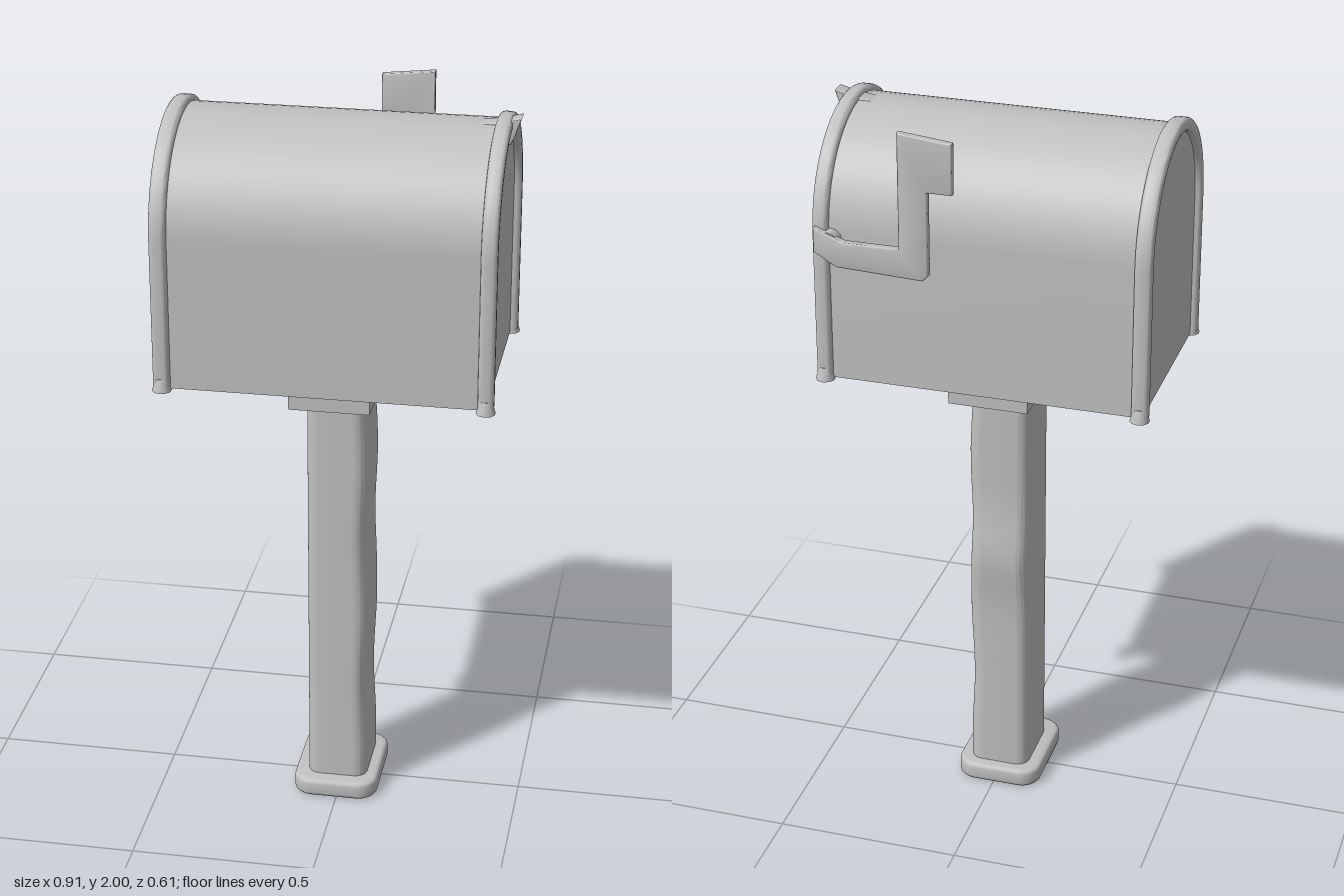
import * as THREE from 'three';
import { toCreasedNormals } from 'three/addons/utils/BufferGeometryUtils.js';

const grey = new THREE.MeshStandardMaterial({ color: 0xc0c0c0 });
grey.name = 'weathered grey';

const FLOOR = 1.29, SPRING = 1.695;

// Outline of the box: straight walls under a round arch
function archShape(r) {
  const s = new THREE.Shape();
  s.moveTo(-r, FLOOR);
  s.lineTo(r, FLOOR);
  s.lineTo(r, SPRING);
  s.absarc(0, SPRING, r, 0, Math.PI, false);
  s.lineTo(-r, FLOOR);
  return s;
}

// Inverted U band that caps each end of the box
function rimShape(outer, inner) {
  const s = new THREE.Shape();
  s.moveTo(inner, FLOOR);
  s.lineTo(outer, FLOOR);
  s.lineTo(outer, SPRING);
  s.absarc(0, SPRING, outer, 0, Math.PI, false);
  s.lineTo(-outer, FLOOR);
  s.lineTo(-inner, FLOOR);
  s.lineTo(-inner, SPRING);
  s.absarc(0, SPRING, inner, Math.PI, 0, true);
  s.lineTo(inner, FLOOR);
  return s;
}

function polygon(points) {
  return new THREE.Shape(points.map(([x, y]) => new THREE.Vector2(x, y)));
}

// Rounded rectangle between two corners
function roundedRect(x0, y0, x1, y1, r) {
  const s = new THREE.Shape();
  s.absarc(x1 - r, y1 - r, r, 0, Math.PI / 2, false);
  s.absarc(x0 + r, y1 - r, r, Math.PI / 2, Math.PI, false);
  s.absarc(x0 + r, y0 + r, r, Math.PI, Math.PI * 1.5, false);
  s.absarc(x1 - r, y0 + r, r, Math.PI * 1.5, Math.PI * 2, false);
  return s;
}

function extrude(shape, depth, bevel = 0, steps = 1) {
  return new THREE.ExtrudeGeometry(shape, {
    depth: depth - 2 * bevel, steps, curveSegments: 16,
    bevelEnabled: bevel > 0, bevelThickness: bevel, bevelSize: bevel,
    bevelOffset: -bevel, bevelSegments: 3,
  }).translate(0, 0, bevel);
}

// Extrusions running along x from x0, or up from y0
const alongX = (geo, x0) => geo.rotateY(Math.PI / 2).translate(x0, 0, 0);
const upward = (geo, y0) => geo.rotateX(-Math.PI / 2).translate(0, y0, 0);

export function createModel() {
  const model = new THREE.Group();
  model.name = 'mailbox';

  function add(name, geo) {
    const mesh = new THREE.Mesh(toCreasedNormals(geo, 0.7), grey);
    mesh.name = name;
    model.add(mesh);
    return mesh;
  }

  // Box, closed at both ends
  add('boxBody', alongX(extrude(archShape(0.272), 0.85), -0.438));

  // End rims with small flared feet
  for (const [name, x0, width] of [['backRim', -0.455, 0.045], ['doorRim', 0.39, 0.042]]) {
    add(name, alongX(extrude(rimShape(0.288, 0.252), width, 0.012), x0));
    for (const side of [-1, 1]) {
      const foot = new THREE.CylinderGeometry(0.016, 0.026, 0.035, 10);
      add(name + 'Foot', foot.translate(x0 + width / 2, 1.302, side * 0.275));
    }
  }

  // Door latch: a tapering strap on the roof ending in a hooked tab
  const latch = polygon([[0.3, 1.96], [0.4, 1.972], [0.455, 1.985], [0.438, 1.935],
    [0.428, 1.915], [0.41, 1.915], [0.41, 1.95], [0.3, 1.95]]);
  add('doorLatch', extrude(latch, 0.05, 0.004).translate(0, 0, -0.028));

  // Signal flag: bent arm with a plate at the top
  const arm = polygon([[0.42, 1.72], [0.42, 1.655], [0.36, 1.62], [0.13, 1.61], [0.115, 1.625],
    [0.115, 1.85], [0.05, 1.85], [0.05, 1.985], [0.192, 2.0], [0.192, 1.69], [0.34, 1.69]].reverse());
  add('signalFlag', extrude(arm, 0.022, 0.004).translate(0, 0, -0.309));
  const pivot = new THREE.CylinderGeometry(0.03, 0.03, 0.04, 12).rotateX(Math.PI / 2);
  add('flagPivot', pivot.translate(0.385, 1.68, -0.283));

  // Mounting block under the box, narrowing a little downward
  const block = new THREE.BoxGeometry(0.215, 0.075, 0.4).translate(-0.007, 1.2575, 0);
  add('mountingBlock', block);

  // Post with a slightly worn, bulging rear face
  const post = upward(extrude(roundedRect(-0.088, -0.105, 0.075, 0.108, 0.035), 1.2, 0, 24), 0.035);
  const p = post.attributes.position;
  for (let i = 0; i < p.count; i++) {
    const y = p.getY(i);
    if (p.getZ(i) < -0.07) p.setZ(i, p.getZ(i) - 0.018 * Math.exp(-(((y - 0.72) / 0.1) ** 2)));
    if (p.getX(i) > 0.04) p.setX(i, p.getX(i) + 0.004 * Math.sin(y * 14));
  }
  post.computeVertexNormals();
  add('post', post);

  // Foot plate
  add('footPlate', upward(extrude(roundedRect(-0.125, -0.148, 0.11, 0.142, 0.055), 0.052, 0.012), 0));

  return model;
}
